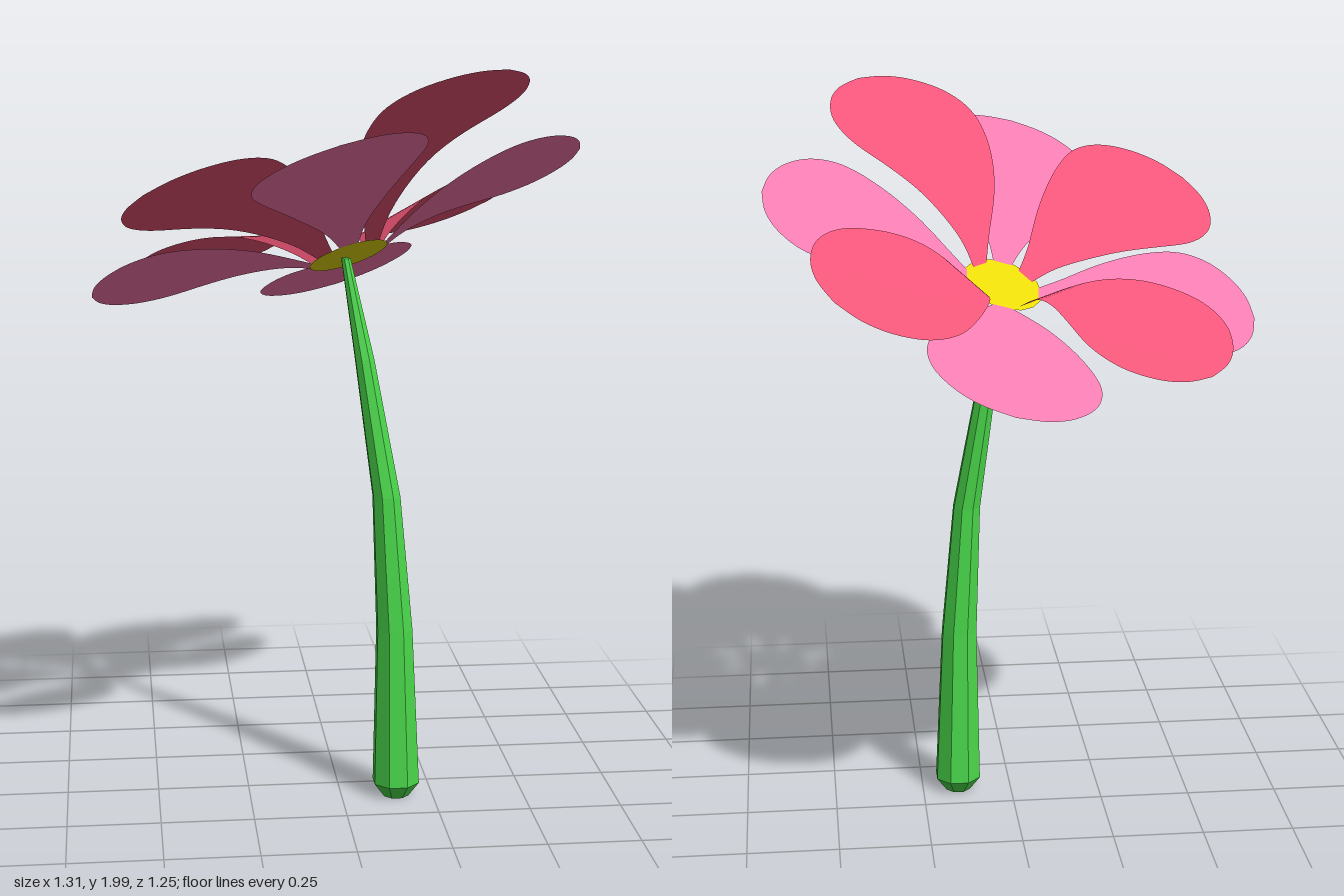
import * as THREE from 'three';

const material = (color, extra = {}) => new THREE.MeshStandardMaterial({ color, ...extra });
const v2 = (x, y) => new THREE.Vector2(x, y);

// Teardrop half-outline: (fraction of length, half width)
const outline = new THREE.SplineCurve([
  v2(0, 0.026), v2(0.12, 0.056), v2(0.3, 0.124), v2(0.5, 0.192), v2(0.66, 0.226),
  v2(0.8, 0.212), v2(0.91, 0.157), v2(0.975, 0.085), v2(1, 0),
]);

// A petal runs along +x, spreads along z and rises along its (radius, height) curve;
// its normals all point up, so it shades evenly
function petalGeometry(rise) {
  const geometry = new THREE.PlaneGeometry(1, 1, 6, 40);
  const { position, normal } = geometry.attributes;
  for (let i = 0; i < position.count; i++) {
    const o = outline.getPoint(position.getY(i) + 0.5);
    const p = rise.getPointAt(THREE.MathUtils.clamp(o.x, 0, 1));
    position.setXYZ(i, p.x, p.y, position.getX(i) * 2 * o.y);
    normal.setXYZ(i, 0, 1, 0);
  }
  return geometry;
}

// Petals spaced a quarter turn apart, each with its own steepness
function petalRing(name, color, rise, startDegrees, steepness) {
  const ring = new THREE.Group();
  ring.name = name + 's';
  const geometry = petalGeometry(rise);
  const mat = material(color, { side: THREE.DoubleSide });
  steepness.forEach((steep, k) => {
    const petal = new THREE.Mesh(geometry, mat);
    petal.name = name;
    petal.scale.y = steep;
    petal.rotation.y = -THREE.MathUtils.degToRad(startDegrees + 90 * k);
    ring.add(petal);
  });
  return ring;
}

// Bent, tapering eight-sided stem: each station is [y, radius, x, z]
function makeStem() {
  const stations = [
    [0, 0, 0.15, 0.105], [0, 0.036, 0.15, 0.105], [0.04, 0.066, 0.15, 0.105],
    [0.48, 0.051, 0.143, 0.11], [0.85, 0.039, 0.12, 0.108],
    [1.22, 0.027, 0.063, 0.083], [1.485, 0.013, 0.016, 0.055], [1.485, 0, 0.016, 0.055],
  ];
  const geometry = new THREE.LatheGeometry(stations.map(([y, r]) => v2(r, y)), 8, Math.PI / 8);
  const pos = geometry.attributes.position;
  for (let i = 0; i < pos.count; i++) {
    const [, , x, z] = stations[i % stations.length];
    pos.setXYZ(i, pos.getX(i) + x, pos.getY(i), pos.getZ(i) + z);
  }
  geometry.computeVertexNormals();
  const stem = new THREE.Mesh(geometry, material(0x4ad84a, { flatShading: true }));
  stem.name = 'stem';
  return stem;
}

export function createModel() {
  const model = new THREE.Group();
  model.name = 'flower';
  model.add(makeStem());

  // Blossom, tilted so its face looks up, back and to one side
  const blossom = new THREE.Group();
  blossom.name = 'blossom';
  const normal = new THREE.Vector3(-0.265, 0.883, -0.39).normalize();
  const side = new THREE.Vector3(1, 0, 0).addScaledVector(normal, -normal.x).normalize();
  const front = new THREE.Vector3().crossVectors(side, normal);
  blossom.quaternion.setFromRotationMatrix(new THREE.Matrix4().makeBasis(side, normal, front));
  blossom.position.set(0.025, 1.49, 0.039);
  model.add(blossom);

  // Flat round centre
  const centre = new THREE.Mesh(
    new THREE.CircleGeometry(0.109, 16).rotateX(-Math.PI / 2),
    material(0xeadb05, { side: THREE.DoubleSide }),
  );
  centre.name = 'centre';
  blossom.add(centre);

  // Shallow lower petals and steeper upper petals
  const lowRise = new THREE.CubicBezierCurve(v2(0.1, 0), v2(0.25, 0.08), v2(0.4, 0.1), v2(0.68, 0.095));
  const highRise = new THREE.CubicBezierCurve(v2(0.09, 0), v2(0.22, 0.2), v2(0.3, 0.22), v2(0.675, 0.215));
  blossom.add(petalRing('lowerPetal', 0xff7cb0, lowRise, 5, [1, 1, 1, 1]));
  blossom.add(petalRing('upperPetal', 0xf05578, highRise, 50, [1, 0.83, 0.97, 0.7]));

  return model;
}
